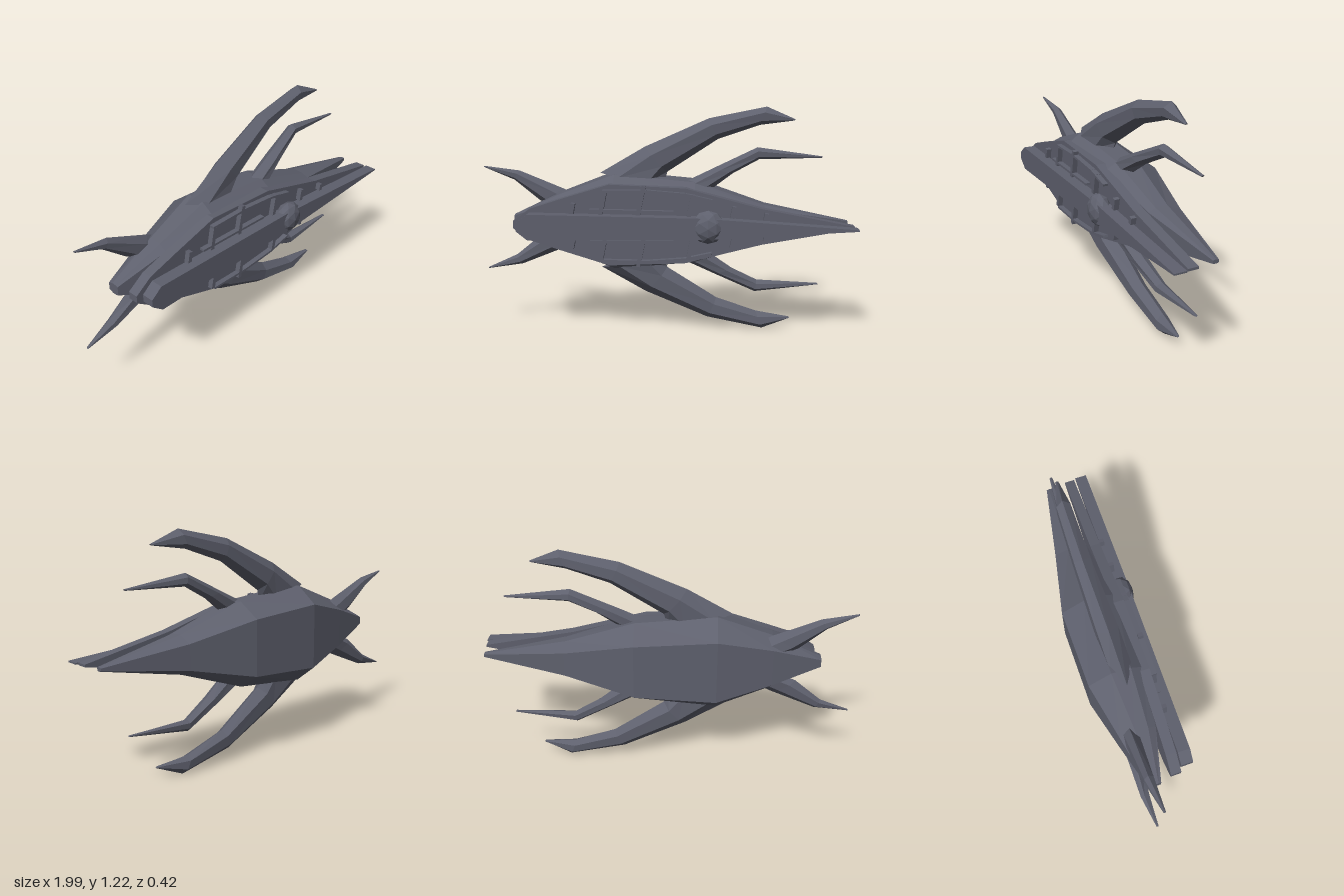
import * as THREE from 'three';

const CY = 0.612; // height of the long axis
const hullGrey = new THREE.MeshStandardMaterial({ color: 0x5e606d, flatShading: true });
hullGrey.name = 'hull grey';

// Skin a list of equal-length rings, cap both ends, and make the faces point outward
function loft(rings) {
  const n = rings[0].length, tris = [];
  for (let i = 0; i < rings.length - 1; i++) {
    for (let j = 0; j < n; j++) {
      const k = (j + 1) % n, a = rings[i], b = rings[i + 1];
      tris.push([a[j], b[j], b[k]], [a[j], b[k], a[k]]);
    }
  }
  const first = rings[0], last = rings[rings.length - 1];
  for (let j = 1; j < n - 1; j++) {
    tris.push([first[0], first[j], first[j + 1]], [last[0], last[j + 1], last[j]]);
  }
  let volume = 0;
  const cross = new THREE.Vector3();
  for (const [a, b, c] of tris) volume += a.dot(cross.crossVectors(b, c));
  const pos = [];
  for (const [a, b, c] of tris) {
    for (const p of volume > 0 ? [a, b, c] : [a, c, b]) pos.push(p.x, p.y, p.z);
  }
  const geo = new THREE.BufferGeometry();
  geo.setAttribute('position', new THREE.Float32BufferAttribute(pos, 3));
  geo.computeVertexNormals();
  return geo;
}

// Flat plate, symmetric about the long axis, from its upper outline
function plate(outline, z0, z1) {
  const lower = outline.slice().reverse().map(([x, y]) => [x, -y]);
  const shape = new THREE.Shape([...outline, ...lower].map(([x, y]) => new THREE.Vector2(x, y)));
  const geo = new THREE.ExtrudeGeometry(shape, { depth: z1 - z0, bevelEnabled: false });
  geo.translate(0, CY, z0);
  return geo;
}

// Blade with a six-sided section; stations: [outerX, outerY, innerX, innerY, zBack, zFront]
function blade(stations, side) {
  return loft(stations.map(([ox, oy, ix, iy, zb, zf]) => {
    const at = (t, s) => new THREE.Vector3(
      ox + (ix - ox) * t, CY + side * (oy + (iy - oy) * t), zb + (zf - zb) * s);
    return [at(0, 0.5), at(0.3, 1), at(0.75, 0.95), at(1, 0.4), at(0.75, 0), at(0.3, 0.05)];
  }));
}

export function createModel() {
  const model = new THREE.Group();
  const add = (geo, name) => {
    const mesh = new THREE.Mesh(geo, hullGrey);
    mesh.name = name;
    model.add(mesh);
    return mesh;
  };

  // Faceted hull: [x, half height, zBack, zFront]
  const hull = [
    [-0.83, 0.03, -0.07, -0.005],
    [-0.57, 0.155, -0.135, 0.052],
    [-0.28, 0.265, -0.205, 0.08],
    [0.15, 0.225, -0.213, 0.08],
    [0.52, 0.1, -0.14, 0.04],
    [0.965, 0.01, -0.06, -0.028],
  ];
  add(loft(hull.map(([x, h, zb, zf]) => {
    const half = [[0.66, 0], [1, 0.42], [0.97, 0.78], [0.8, 1]];
    const pt = (s) => ([y, t]) => new THREE.Vector3(x, CY + s * y * h, zb + (zf - zb) * t);
    return [...half.map(pt(1)), ...half.slice().reverse().map(pt(-1))];
  })), 'hull');

  // Broad front plate and the narrow spine above it
  add(plate([[-0.81, 0.02], [-0.72, 0.085], [-0.55, 0.14], [-0.3, 0.217],
    [0.1, 0.2], [0.5, 0.095], [0.98, 0.006]], 0.055, 0.11), 'frontPlate');
  add(plate([[-0.78, 0.02], [-0.72, 0.068], [0.2, 0.056], [0.99, 0.004]], 0.12, 0.185), 'spine');

  // Swept blades, mirrored above and below
  const blades = {
    longBlade: [
      [-0.36, 0.26, -0.02, 0.2, -0.09, 0.03],
      [-0.12, 0.4, 0.0, 0.265, -0.1, 0.015],
      [0.22, 0.55, 0.27, 0.44, -0.108, -0.02],
      [0.525, 0.612, 0.49, 0.515, -0.105, -0.03],
      [0.675, 0.547, 0.67, 0.54, -0.062, -0.045],
    ],
    shortBlade: [
      [0.04, 0.19, 0.24, 0.18, -0.06, 0.03],
      [0.25, 0.29, 0.35, 0.26, -0.075, 0.005],
      [0.48, 0.398, 0.49, 0.333, -0.09, -0.03],
      [0.825, 0.352, 0.82, 0.344, -0.06, -0.045],
    ],
    tailFin: [
      [-0.5, 0.13, -0.62, 0.06, -0.12, -0.04],
      [-0.57, 0.165, -0.7, 0.095, -0.115, -0.042],
      [-0.81, 0.262, -0.84, 0.21, -0.105, -0.055],
      [-1.0, 0.288, -0.998, 0.28, -0.072, -0.06],
    ],
  };
  for (const [name, stations] of Object.entries(blades)) {
    add(blade(stations, 1), name + 'Upper');
    add(blade(stations, -1), name + 'Lower');
  }

  // Thin bar on the front plate from one point to another
  const bar = (x0, y0, x1, y1, width, name) => {
    const geo = new THREE.BoxGeometry(Math.hypot(x1 - x0, y1 - y0), width, 0.028);
    const mesh = add(geo, name);
    mesh.position.set((x0 + x1) / 2, CY + (y0 + y1) / 2, 0.126);
    mesh.rotation.z = Math.atan2(y1 - y0, x1 - x0);
  };

  // Cross ribs: [x, inner offset, outer offset], and rails running lengthwise
  const ribs = [[-0.49, 0.06, 0.12], [-0.33, 0.06, 0.18], [-0.13, 0.06, 0.215],
    [0.13, 0.05, 0.17], [0.35, 0.05, 0.11], [0.52, 0.04, 0.075]];
  const rails = [[-0.4, 0.085, 0.04, 0.078], [-0.33, 0.185, -0.1, 0.188],
    [-0.1, 0.188, 0.1, 0.172], [0.1, 0.172, 0.24, 0.14]];
  for (const s of [1, -1]) {
    for (const [x, y0, y1] of ribs) {
      const lean = s * 0.2 * (y1 - y0) / 2;
      bar(x - lean, s * y0, x + lean, s * y1, 0.022, 'rib');
    }
    for (const [x0, y0, x1, y1] of rails) bar(x0, s * y0, x1, s * y1, 0.012, 'rail');
  }

  // Faceted dome on the spine
  const dome = add(new THREE.IcosahedronGeometry(0.088, 1), 'dome');
  dome.scale.z = 0.65;
  dome.position.set(0.22, CY + 0.004, 0.15);

  return model;
}
